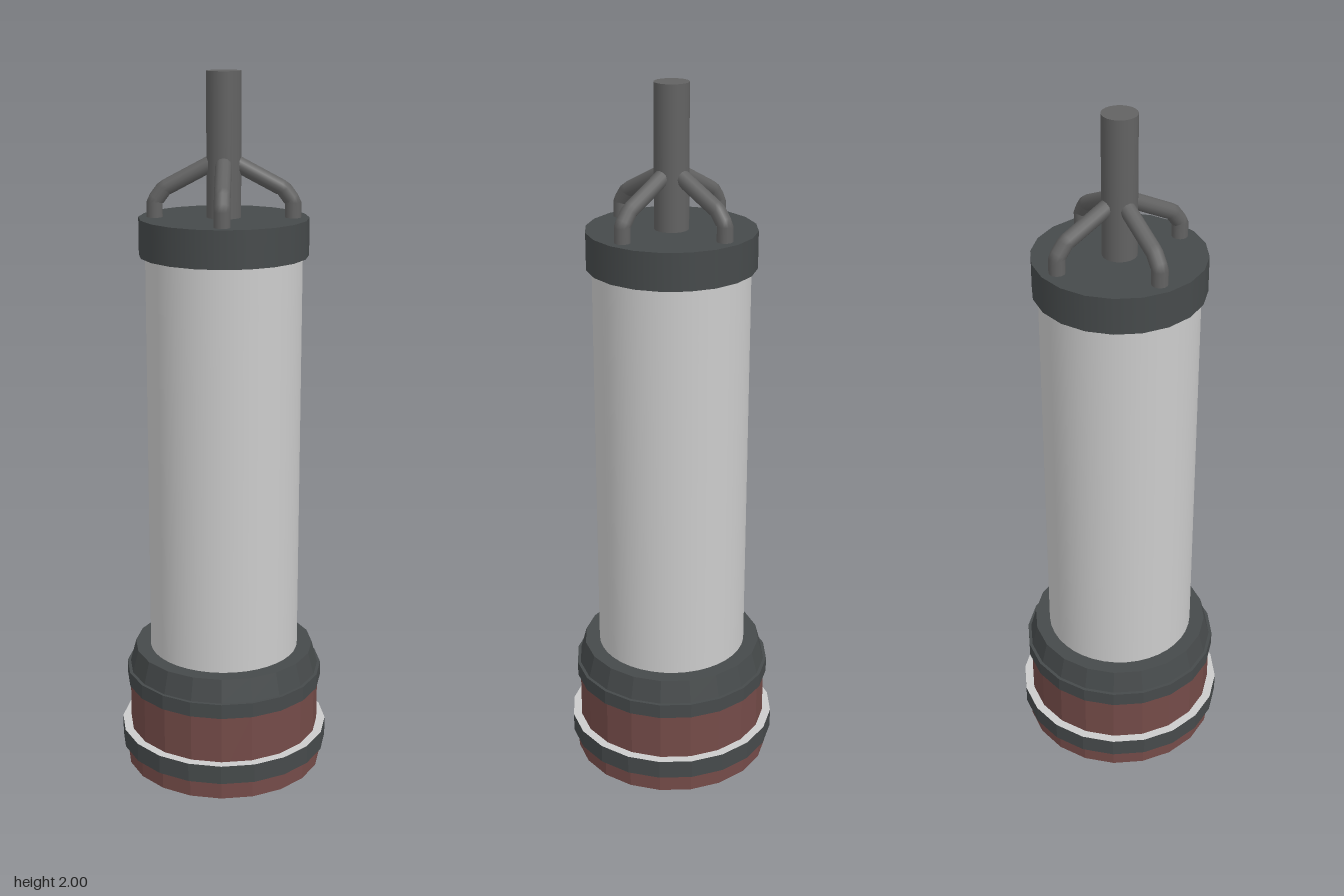
import * as THREE from 'three';

const mat = (color, flatShading = false) => new THREE.MeshStandardMaterial({ color, flatShading });

export function createModel() {
  const model = new THREE.Group();
  const red = mat(0x744b48, true);
  const dark = mat(0x464a4b, true);
  const darkSmooth = mat(0x464a4b);
  const grey = mat(0xcccccc);
  const steel = mat(0x626262);

  const add = (name, geometry, material, parent = model) => {
    const mesh = new THREE.Mesh(geometry, material);
    mesh.name = name;
    parent.add(mesh);
    return mesh;
  };

  // Upright drum between two heights
  const drum = (name, rBottom, rTop, y0, y1, sides, material) => {
    const g = new THREE.CylinderGeometry(rTop, rBottom, y1 - y0, sides);
    g.translate(0, (y0 + y1) / 2, 0);
    return add(name, g, material);
  };

  // Faceted base
  drum('baseFoot', 0.288, 0.288, 0, 0.056, 20, red);
  drum('baseBody', 0.278, 0.278, 0.056, 0.25, 20, red);

  // Band around the base: dark with a pale upper face
  drum('baseBand', 0.303, 0.303, 0.055, 0.11, 20, [dark, grey, dark]);

  // Stepped, chamfered collar
  drum('collarRim', 0.286, 0.286, 0.25, 0.293, 20, dark);
  drum('collarChamfer', 0.277, 0.26, 0.293, 0.358, 20, dark);

  // Main tube and cap
  drum('tube', 0.216, 0.216, 0.35, 1.515, 40, grey);
  drum('cap', 0.233, 0.233, 1.51, 1.613, 20, darkSmooth);

  // Centre rod
  drum('rod', 0.047, 0.047, 1.6, 2, 24, steel);

  // Four bent braces from the cap to the rod
  const path = new THREE.CurvePath();
  const points = [[0.188, 1.6], [0.188, 1.655], [0.162, 1.69], [0.02, 1.765]]
    .map(([x, y]) => new THREE.Vector3(x, y, 0));
  for (let i = 0; i < points.length - 1; i++) {
    path.add(new THREE.LineCurve3(points[i], points[i + 1]));
  }
  const braceGeometry = new THREE.TubeGeometry(path, 24, 0.022, 12);
  const braces = new THREE.Group();
  braces.name = 'braces';
  model.add(braces);
  for (let i = 0; i < 4; i++) {
    add('brace', braceGeometry, steel, braces).rotation.y = i * Math.PI / 2;
  }

  return model;
}
